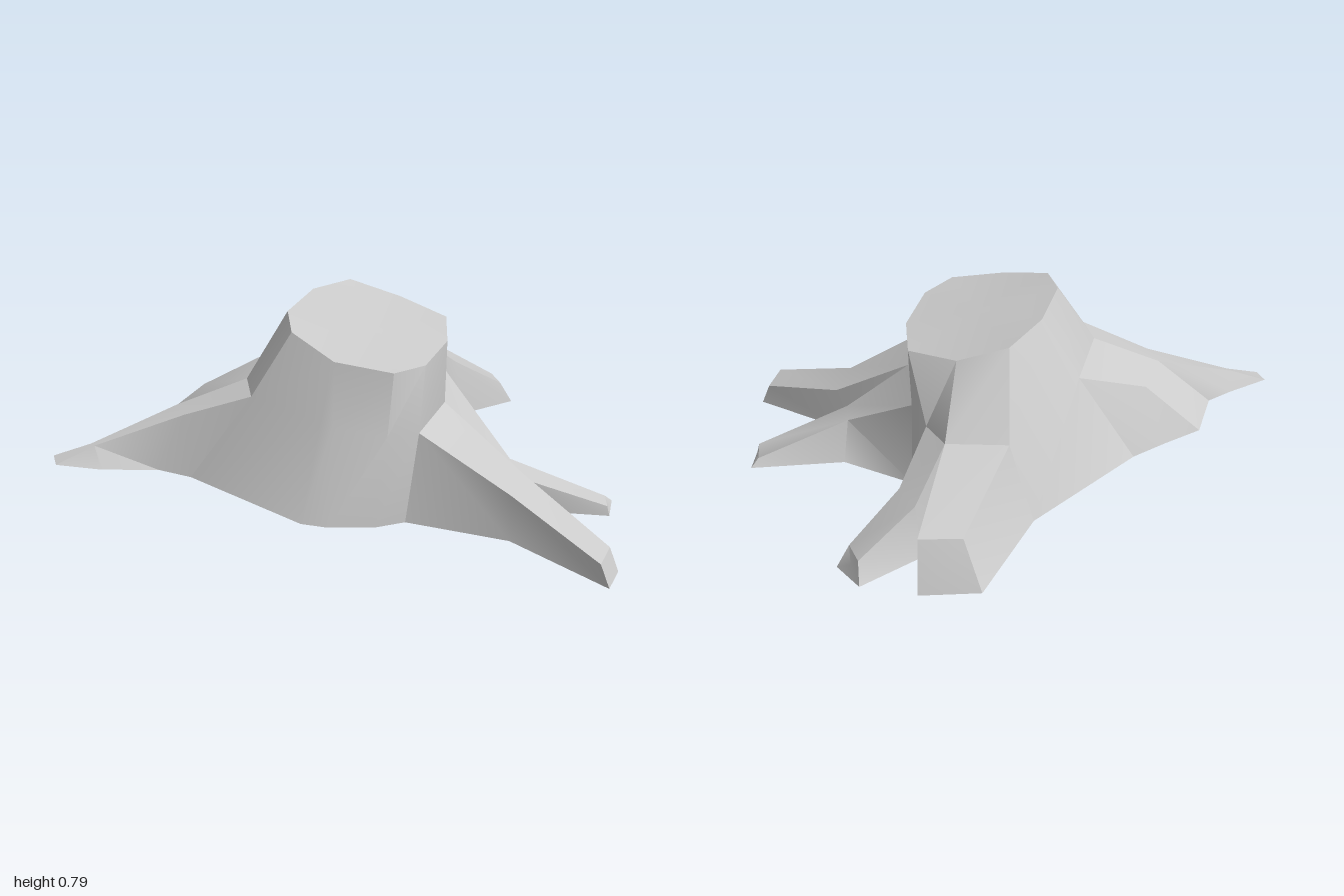
import * as THREE from 'three';
import { toCreasedNormals } from 'three/addons/utils/BufferGeometryUtils.js';

const material = new THREE.MeshStandardMaterial({ color: 0xcccccc });

// Point on the sloping underside
const g = (x, z) => [x, 0.13 - 0.13 * x, z];

function makeMesh(name, triangles) {
  const positions = [];
  const v = () => new THREE.Vector3();
  for (const [a, b, c] of triangles) {
    const t = new THREE.Triangle(v().fromArray(a), v().fromArray(b), v().fromArray(c));
    if (t.getArea() > 1e-6) positions.push(...a, ...b, ...c);
  }
  const geometry = new THREE.BufferGeometry();
  geometry.setAttribute('position', new THREE.Float32BufferAttribute(positions, 3));
  const mesh = new THREE.Mesh(toCreasedNormals(geometry, 0.55), material);
  mesh.name = name;
  return mesh;
}

// Fan of triangles closing a loop
function cap(loop) {
  const centre = [0, 1, 2].map(k => loop.reduce((s, p) => s + p[k], 0) / loop.length);
  return loop.map((p, i) => [centre, p, loop[(i + 1) % loop.length]]);
}

// Skin between successive loops, closed at the far end
function loft(name, sections) {
  const tris = [];
  for (let s = 0; s < sections.length - 1; s++) {
    const a = sections[s], b = sections[s + 1];
    a.forEach((p, i) => {
      const j = (i + 1) % a.length;
      tris.push([p, a[j], b[j]], [p, b[j], b[i]]);
    });
  }
  tris.push(...cap(sections[sections.length - 1]));
  return makeMesh(name, tris);
}

export function createModel() {
  const group = new THREE.Group();

  // Trunk columns, clockwise from above: cut edge, shoulder, foot
  const columns = [
    [[-0.24, 0.79, 0.08], [-0.38, 0.54, 0.11], g(-0.60, 0.13)],
    [[-0.17, 0.77, -0.10], [-0.23, 0.49, -0.29], g(-0.33, -0.30)],
    [[0.01, 0.71, -0.15], [-0.01, 0.49, -0.35], g(-0.01, -0.35)],
    [[0.21, 0.68, -0.10], [0.09, 0.48, -0.26], g(0.09, -0.26)],
    [[0.21, 0.68, -0.10], [0.19, 0.46, -0.13], g(0.19, -0.15)],
    [[0.28, 0.67, 0.08], [0.29, 0.45, 0.125], g(0.29, 0.125)],
    [[0.28, 0.67, 0.30], [0.29, 0.45, 0.385], g(0.25, 0.41)],
    [[0.21, 0.68, 0.42], [0.20, 0.45, 0.455], g(0.17, 0.50)],
    [[0.01, 0.71, 0.47], [0.02, 0.48, 0.51], g(0.03, 0.59)],
    [[0.01, 0.71, 0.47], [-0.02, 0.50, 0.52], g(-0.06, 0.62)],
    [[-0.17, 0.77, 0.42], [-0.30, 0.53, 0.49], g(-0.52, 0.56)],
    [[-0.24, 0.79, 0.30], [-0.37, 0.54, 0.38], g(-0.60, 0.40)],
  ];
  const rings = [0, 1, 2].map(k => columns.map(c => c[k]));
  group.add(loft('trunk', rings));
  group.add(makeMesh('cutFace', cap([...rings[0]].reverse())));

  // Root sections run: near-side foot, near-side top, far-side top, far-side foot
  const start = (i, j) => [columns[i][2], columns[i][1], columns[j][1], columns[j][2]];

  group.add(loft('backRightRoot', [
    start(1, 2),
    [g(-0.26, -0.71), [-0.17, 0.33, -0.64], [-0.02, 0.33, -0.69], g(-0.04, -0.76)],
  ]));
  group.add(loft('backLeftRoot', [
    start(2, 3),
    [g(0.01, -0.56), [0.04, 0.34, -0.54], [0.13, 0.33, -0.45], g(0.16, -0.44)],
    [g(0.18, -0.75), [0.20, 0.18, -0.70], [0.26, 0.18, -0.63], g(0.30, -0.66)],
  ]));
  group.add(loft('leftRearRoot', [
    start(4, 5),
    [g(0.50, -0.06), [0.51, 0.21, 0.02], [0.55, 0.20, 0.12], g(0.55, 0.12)],
    [g(0.86, -0.15), [0.84, 0.05, -0.12], [0.87, 0.055, -0.04], g(0.88, -0.04)],
  ]));
  group.add(loft('leftFrontRoot', [
    start(5, 6),
    [g(0.61, 0.16), [0.61, 0.235, 0.16], [0.61, 0.235, 0.32], g(0.61, 0.32)],
    [g(1, 0.29), [0.965, 0.09, 0.29], [0.965, 0.09, 0.41], g(1, 0.41)],
  ]));

  // Broad buttress and the narrow root that runs forward from it
  const rightEnd = [g(-0.81, 0.53), g(-0.81, 0.33)];
  group.add(loft('rightButtress', [
    start(11, 0),
    [g(-0.64, 0.57), [-0.61, 0.43, 0.46], [-0.60, 0.43, 0.28], g(-0.70, 0.23)],
    [rightEnd[0], rightEnd[0], rightEnd[1], rightEnd[1]],
  ]));
  const tip = [g(-0.96, 0.75), g(-1, 0.70)];
  group.add(loft('rightFrontRoot', [
    start(10, 11),
    [g(-0.64, 0.58), [-0.55, 0.43, 0.53], [-0.61, 0.43, 0.46], rightEnd[0]],
    [g(-0.81, 0.69), [-0.85, 0.31, 0.66], [-0.87, 0.31, 0.65], g(-0.88, 0.60)],
    [tip[0], tip[0], tip[1], tip[1]],
  ]));

  return group;
}
